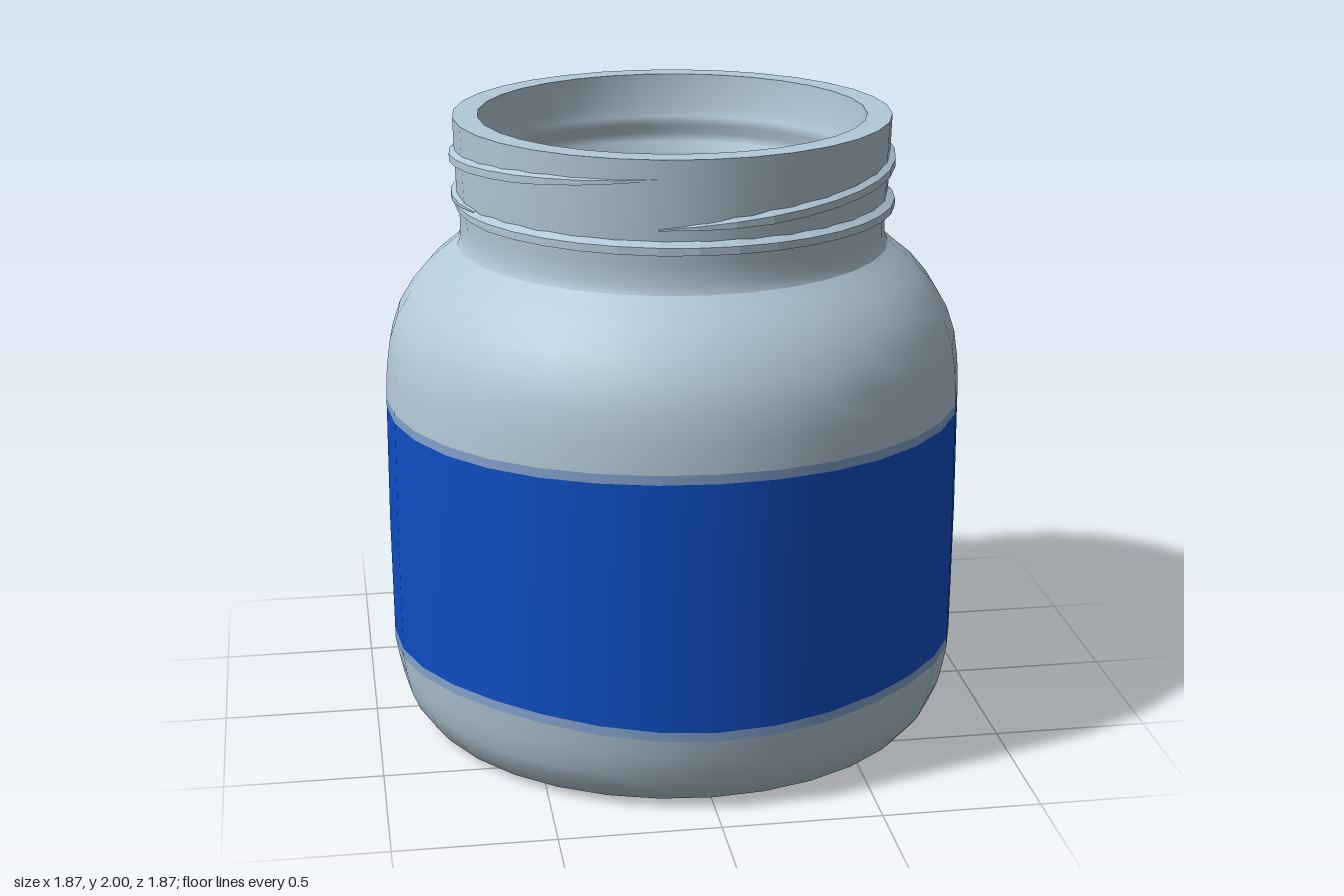
import * as THREE from 'three';

const SEGMENTS = 32;

export function createModel() {
  const jar = new THREE.Group();
  jar.name = 'jar';

  const material = (name, color) => {
    const m = new THREE.MeshStandardMaterial({ color });
    m.name = name;
    return m;
  };
  const glass = material('pale grey glass', 0xb3c8d7);
  const blue = material('label blue', 0x0f4ec4);
  const edge = material('label edge blue', 0x83a1cc);

  const add = (name, geometry, mat) => {
    const mesh = new THREE.Mesh(geometry, mat);
    mesh.name = name;
    jar.add(mesh);
    return mesh;
  };

  // Slightly uneven label borders: shift every vertex near a border by its angle
  const warp = (geometry) => {
    const p = geometry.attributes.position;
    for (let i = 0; i < p.count; i++) {
      const x = p.getX(i), y = p.getY(i), z = p.getZ(i);
      const a = Math.atan2(x, z);
      if (Math.abs(y - 0.28) < 0.03) p.setY(i, y - 0.012 * Math.cos(4 * a) - 0.006 * Math.sin(a));
      if (Math.abs(y - 1.08) < 0.03) p.setY(i, y + 0.015 * Math.cos(a) + 0.004 * Math.cos(3 * a));
    }
    return geometry;
  };
  const lathe = (name, points, mat) =>
    add(name, warp(new THREE.LatheGeometry(points.map(([r, y]) => new THREE.Vector2(r, y)), SEGMENTS)), mat);

  // Outer body, from the rounded foot up
  lathe('foot', [[0.79, 0], [0.84, 0.02], [0.88, 0.07], [0.905, 0.13], [0.92, 0.2], [0.93, 0.265]], glass);
  lathe('lowerLabelEdge', [[0.93, 0.265], [0.93, 0.295]], edge);
  lathe('label', [[0.93, 0.295], [0.933, 0.68], [0.93, 1.065]], blue);
  lathe('upperLabelEdge', [[0.93, 1.065], [0.93, 1.095]], edge);
  lathe('shoulder', [[0.93, 1.095], [0.925, 1.2], [0.912, 1.29], [0.885, 1.37], [0.84, 1.445],
    [0.785, 1.51], [0.73, 1.555], [0.69, 1.59]], glass);

  // Neck and rim
  lathe('neck', [[0.69, 1.59], [0.678, 1.62], [0.678, 1.68], [0.687, 1.78], [0.694, 2]], glass);
  lathe('rim', [[0.694, 2], [0.615, 2]], glass);

  // Inner wall, from the rim down to the floor
  lathe('innerNeck', [[0.615, 2], [0.61, 1.89], [0.592, 1.86], [0.592, 1.83], [0.606, 1.8],
    [0.604, 1.77], [0.582, 1.74], [0.582, 1.71], [0.592, 1.68], [0.585, 1.6]], glass);
  lathe('innerBody', [[0.585, 1.6], [0.66, 1.53], [0.75, 1.45], [0.82, 1.33], [0.85, 1.18],
    [0.855, 0.7], [0.85, 0.2], [0.82, 0.1], [0.77, 0.06]], glass);

  // Floor and underside
  const floor = add('floor', new THREE.CircleGeometry(0.77, SEGMENTS), blue);
  floor.rotation.x = -Math.PI / 2;
  floor.position.y = 0.06;
  const base = add('base', new THREE.CircleGeometry(0.79, SEGMENTS), blue);
  base.rotation.x = Math.PI / 2;

  // Raised ridge swept round the neck, tapering to nothing at both ends
  const thread = (name, fromDeg, toDeg, y0, y1) => {
    const section = [[-0.03, -0.024], [0.018, -0.018], [0.018, 0.006], [-0.03, 0.034]];
    const steps = Math.ceil((toDeg - fromDeg) / 10);
    const positions = [], index = [];
    for (let i = 0; i <= steps; i++) {
      const t = i / steps;
      const a = THREE.MathUtils.degToRad(THREE.MathUtils.lerp(fromDeg, toDeg, t));
      const scale = Math.min(1, 0.15 + 5 * Math.min(t, 1 - t));
      for (const [dr, dy] of section) {
        const r = 0.69 + (dr > 0 ? dr * scale : dr);
        positions.push(r * Math.sin(a), THREE.MathUtils.lerp(y0, y1, t) + dy * scale, r * Math.cos(a));
      }
      if (i === steps) continue;
      for (let j = 0; j < 3; j++) {
        const k = i * 4 + j;
        index.push(k, k + 4, k + 1, k + 1, k + 4, k + 5);
      }
    }
    const indexed = new THREE.BufferGeometry();
    indexed.setAttribute('position', new THREE.Float32BufferAttribute(positions, 3));
    indexed.setIndex(index);
    const geometry = indexed.toNonIndexed();
    geometry.computeVertexNormals();
    add(name, geometry, glass);
  };
  thread('frontThread', -12, 130, 1.79, 1.91);
  thread('backThread', 145, 348, 1.79, 1.94);
  thread('lowerThreadFront', -100, 125, 1.74, 1.725);
  thread('lowerThreadBack', 95, 290, 1.71, 1.755);

  return jar;
}
